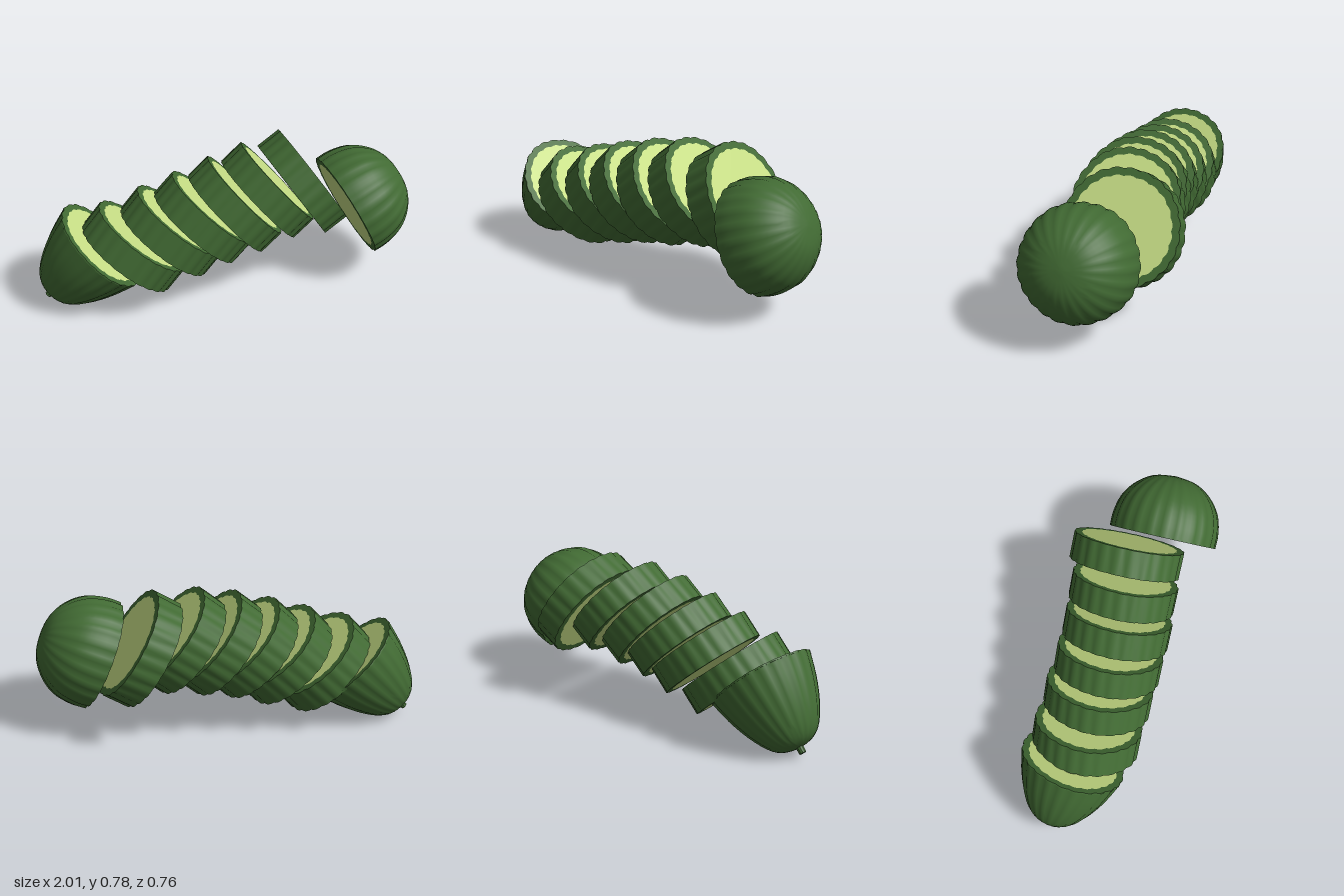
import * as THREE from 'three';
import { toCreasedNormals } from 'three/addons/utils/BufferGeometryUtils.js';

const SEGMENTS = 96;
const FLESH = 0.87; // flesh radius relative to the rind

// Scalloped rind: 24 shallow ribs with a slight irregularity
const lobe = (a) => 1.012 - 0.028 * (1 - Math.abs(Math.cos(12 * a))) + 0.006 * Math.sin(5 * a + 1);

function outline(radius) {
  const points = [];
  for (let i = 0; i < SEGMENTS; i++) {
    const a = (i / SEGMENTS) * Math.PI * 2;
    const r = radius * lobe(a);
    points.push(new THREE.Vector2(r * Math.cos(a), r * Math.sin(a)));
  }
  return points;
}

export function createModel() {
  const model = new THREE.Group();
  model.name = 'slicedCucumber';
  const rindMaterial = new THREE.MeshStandardMaterial({ color: 0x416a33 });
  rindMaterial.name = 'dark green rind';
  const fleshMaterial = new THREE.MeshStandardMaterial({ color: 0xc8df86 });
  fleshMaterial.name = 'pale green flesh';

  function add(parent, name, geometry, material) {
    const mesh = new THREE.Mesh(toCreasedNormals(geometry, 0.6), material);
    mesh.name = name;
    parent.add(mesh);
  }

  // Rind ring and flesh disc, from z0 to z0 + depth along the axis
  function addDisc(parent, radius, z0, depth) {
    const options = { depth, bevelEnabled: false, curveSegments: 1 };
    const ring = new THREE.Shape(outline(radius));
    ring.holes.push(new THREE.Path(outline(radius * FLESH)));
    const core = new THREE.Shape(outline(radius * FLESH));
    add(parent, 'rind', new THREE.ExtrudeGeometry(ring, options).translate(0, 0, z0), rindMaterial);
    add(parent, 'flesh', new THREE.ExtrudeGeometry(core, options).translate(0, 0, z0), fleshMaterial);
  }

  // Ribbed dome from a profile of [radius, distance along axis]
  function addDome(parent, profile) {
    const curve = new THREE.SplineCurve(profile.map(([r, h]) => new THREE.Vector2(r, h)));
    const points = curve.getPoints(18);
    points.forEach((p) => { p.x = Math.max(p.x, 0); });
    const geometry = new THREE.LatheGeometry(points, SEGMENTS).rotateX(Math.PI / 2);
    const pos = geometry.attributes.position;
    for (let i = 0; i < pos.count; i++) {
      const s = lobe(Math.atan2(pos.getY(i), pos.getX(i)));
      pos.setXY(i, pos.getX(i) * s, pos.getY(i) * s);
    }
    add(parent, 'domeRind', geometry, rindMaterial);
  }

  // Group whose local +z runs along the cucumber's axis
  function place(name, center, axis) {
    const group = new THREE.Group();
    group.name = name;
    group.position.set(...center);
    group.quaternion.setFromUnitVectors(new THREE.Vector3(0, 0, 1), new THREE.Vector3(...axis).normalize());
    model.add(group);
    return group;
  }

  // Slices: centre, tilt in degrees, radius
  const slices = [
    [[-0.51, 0.31, -0.05], 49, 0.28],
    [[-0.305, 0.368, -0.04], 48.5, 0.28],
    [[-0.13, 0.42, -0.03], 45.5, 0.278],
    [[0.05, 0.462, -0.03], 40.5, 0.281],
    [[0.243, 0.5, -0.045], 40, 0.281],
    [[0.46, 0.487, -0.08], 33, 0.299],
  ];
  slices.forEach(([center, degrees, radius], i) => {
    const t = THREE.MathUtils.degToRad(degrees);
    const slice = place(`slice${i + 1}`, center, [Math.cos(t), Math.sin(t), 0]);
    addDisc(slice, radius, -0.0725, 0.145);
  });

  // Tapered end with its stem
  const stemEnd = place('stemEnd', [-0.675, 0.337, -0.08], [0.7, 0.7, 0.16]);
  addDisc(stemEnd, 0.274, -0.008, 0.008);
  addDome(stemEnd, [[0, -0.392], [0.04, -0.39], [0.095, -0.372], [0.145, -0.325], [0.197, -0.235], [0.242, -0.12], [0.274, 0]]);
  const stem = new THREE.CylinderGeometry(0.022, 0.018, 0.06, 10).rotateX(Math.PI / 2).translate(0, 0, -0.395);
  add(stemEnd, 'stem', stem, rindMaterial);

  // Rounded end
  const roundEnd = place('roundEnd', [0.655, 0.385, 0.075], [0.9, 0.434, 0]);
  addDisc(roundEnd, 0.295, 0, 0.008);
  addDome(roundEnd, [[0.295, 0], [0.294, 0.08], [0.268, 0.18], [0.205, 0.265], [0.115, 0.322], [0, 0.34]]);

  return model;
}
